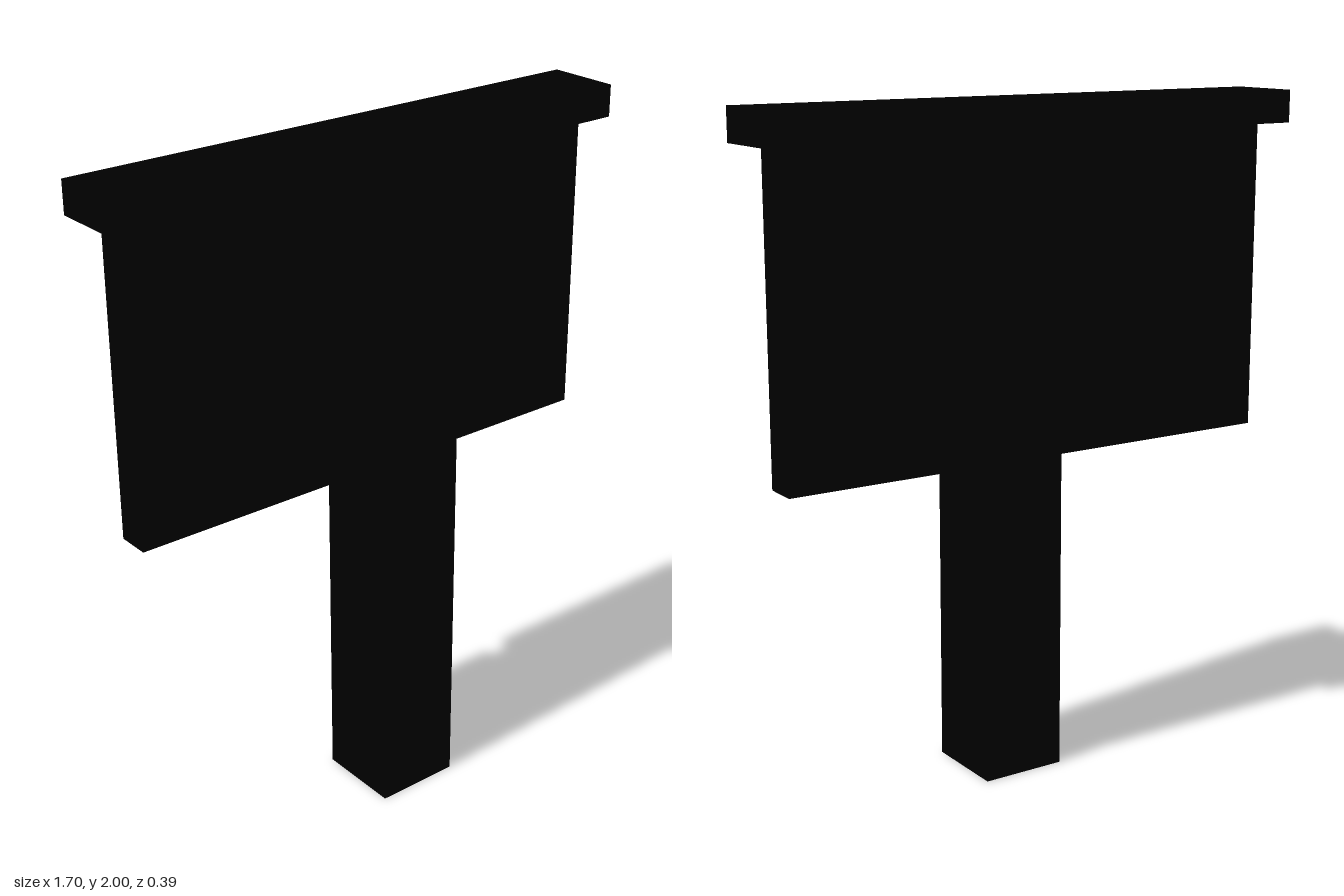
import * as THREE from 'three';

export function createModel() {
  const model = new THREE.Group();
  const black = new THREE.MeshStandardMaterial({ color: 0x000000 });
  black.name = 'black';

  // Box given by its lower and upper bounds on each axis
  function box(name, [x0, x1], [y0, y1], [z0, z1]) {
    const mesh = new THREE.Mesh(new THREE.BoxGeometry(x1 - x0, y1 - y0, z1 - z0), black);
    mesh.position.set((x0 + x1) / 2, (y0 + y1) / 2, (z0 + z1) / 2);
    mesh.name = name;
    model.add(mesh);
  }

  // Support
  box('post', [-0.13, 0.13], [0, 1.84], [-0.065, 0.195]);

  // Board with its overhanging cap
  box('board', [-0.785, 0.785], [0.99, 1.91], [-0.13, -0.03]);
  box('cap', [-0.85, 0.85], [1.905, 2], [-0.195, 0.03]);

  // Notice panel on the back, with its pin and corner tag
  box('noticePanel', [-0.6, 0.6], [1.085, 1.79], [-0.16, -0.125]);
  box('pin', [-0.04, 0.04], [1.74, 1.805], [-0.187, -0.125]);
  box('cornerTag', [-0.59, -0.35], [1.055, 1.215], [-0.195, -0.14]);

  return model;
}
